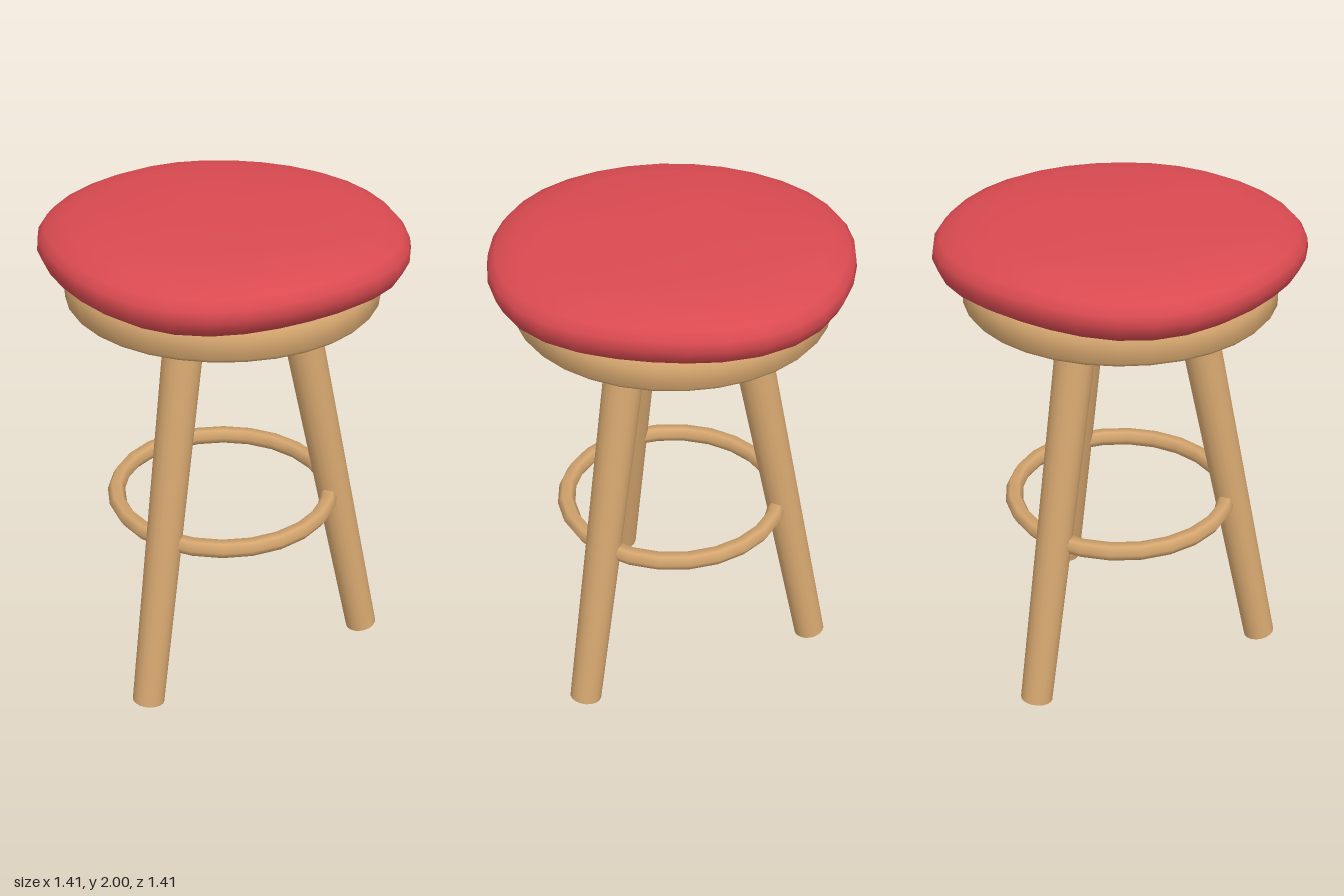
import * as THREE from 'three';
import { mergeVertices, toCreasedNormals } from 'three/addons/utils/BufferGeometryUtils.js';

const wood = new THREE.MeshStandardMaterial({ name: 'wood', color: 0xd4a56e });
const red = new THREE.MeshStandardMaterial({ name: 'red upholstery', color: 0xd94a50 });

function add(parent, name, geometry, material) {
  const mesh = new THREE.Mesh(geometry, material);
  mesh.name = name;
  parent.add(mesh);
  return mesh;
}

function lathe(points, segments) {
  return new THREE.LatheGeometry(points.map(([r, y]) => new THREE.Vector2(r, y)), segments);
}

// Plump cushion: a turned profile pushed out towards four soft corners
function cushionGeometry() {
  let g = lathe([
    [0, 1.75], [0.4, 1.75], [0.55, 1.756], [0.63, 1.775], [0.68, 1.81], [0.703, 1.86],
    [0.697, 1.9], [0.67, 1.932], [0.6, 1.964], [0.48, 1.985], [0.25, 1.998], [0, 2],
  ], 32);
  g.deleteAttribute('normal');
  g.deleteAttribute('uv');
  const p = g.attributes.position;
  for (let i = 0; i < p.count; i++) {
    const x = p.getX(i), y = p.getY(i), z = p.getZ(i);
    const corner = Math.sin(2 * Math.atan2(z, x)) ** 2;
    const rim = Math.min(1, Math.hypot(x, z) / 0.6) ** 2;
    const swell = 1 + 0.036 * corner;
    p.setXYZ(i, x * swell, y - 0.012 * corner * rim, z * swell);
  }
  g = mergeVertices(g, 1e-4);
  g.computeVertexNormals();
  return g;
}

// Tapered leg between two points
function addLeg(parent, name, foot, top) {
  const axis = top.clone().sub(foot);
  const leg = add(parent, name, new THREE.CylinderGeometry(0.08, 0.066, axis.length(), 18), wood);
  leg.position.copy(foot).add(top).multiplyScalar(0.5);
  leg.quaternion.setFromUnitVectors(new THREE.Vector3(0, 1, 0), axis.normalize());
}

export function createModel() {
  const stool = new THREE.Group();
  stool.name = 'stool';

  add(stool, 'cushion', cushionGeometry(), red);

  // Round board with eased edges
  const board = lathe([
    [0, 1.64], [0.608, 1.64], [0.62, 1.655], [0.62, 1.735], [0.607, 1.755], [0, 1.755],
  ], 32);
  add(stool, 'seatBoard', toCreasedNormals(board, 0.9), wood);

  // Three splayed legs: one at the back, two at the front
  const legs = [['backLeg', -90], ['frontLeftLeg', 30], ['frontRightLeg', 150]];
  for (const [name, degrees] of legs) {
    const a = THREE.MathUtils.degToRad(degrees);
    const at = (r, y) => new THREE.Vector3(r * Math.cos(a), y, r * Math.sin(a));
    addLeg(stool, name, at(0.617, 0.013), at(0.27, 1.69));
  }

  // Foot ring joining the legs
  const ring = add(stool, 'footRing', new THREE.TorusGeometry(0.452, 0.037, 6, 24), wood);
  ring.rotation.x = Math.PI / 2;
  ring.position.y = 0.72;

  return stool;
}
